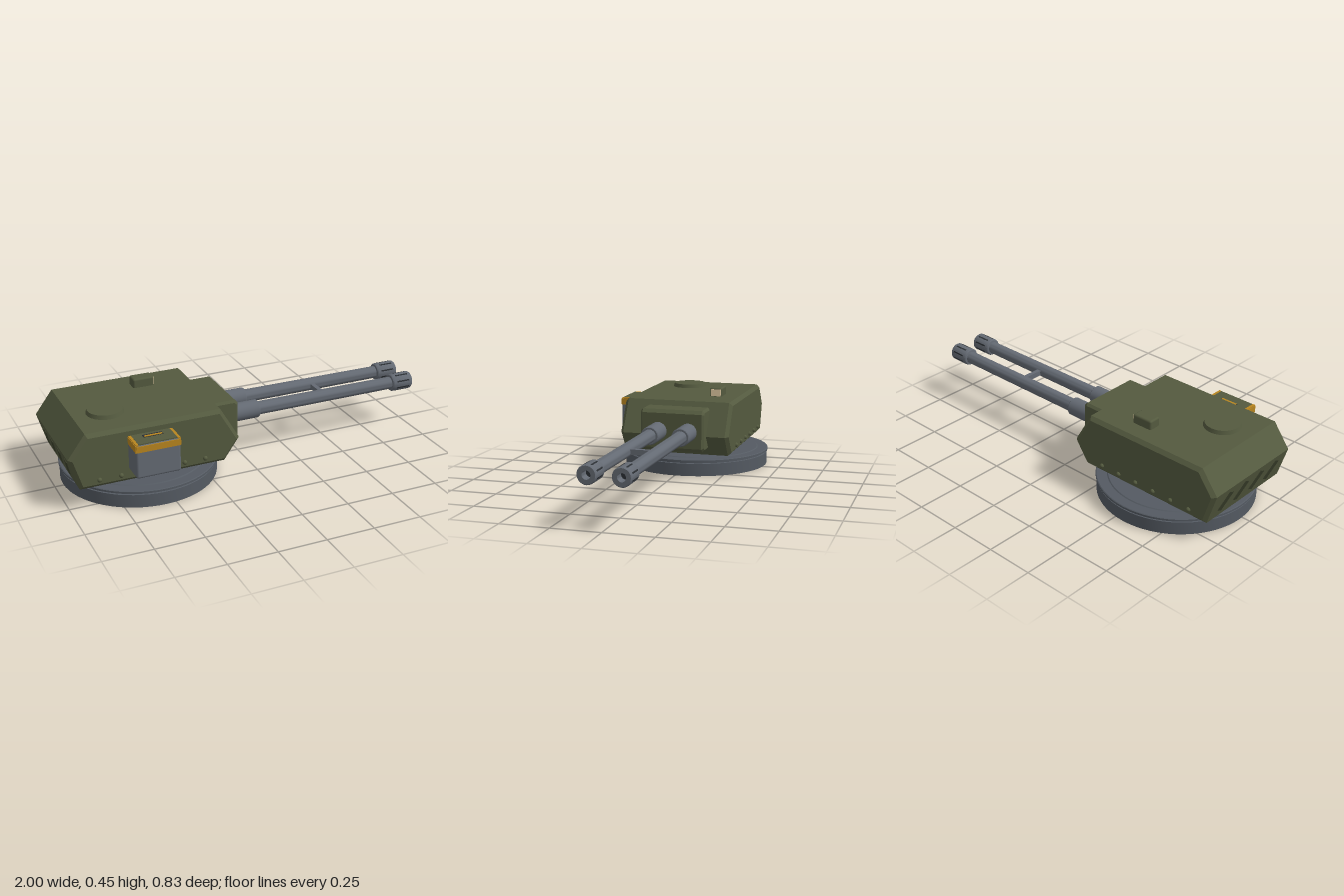
import * as THREE from 'three';
import { toCreasedNormals } from 'three/addons/utils/BufferGeometryUtils.js';
import { RoundedBoxGeometry } from 'three/addons/geometries/RoundedBoxGeometry.js';

function paint(name, color) {
  const m = new THREE.MeshStandardMaterial({ color });
  m.name = name;
  return m;
}

export function createModel() {
  const olive = paint('olive armour', 0x545a3f);
  const darkOlive = paint('dark olive', 0x3a3f2b);
  const steel = paint('gun steel', 0x646a73);
  const baseGrey = paint('base grey', 0x545a62);
  const dark = paint('dark recess', 0x2b2f33);
  const yellow = paint('hazard yellow', 0xb8851f);
  const lensTint = paint('lens beige', 0xe6cfa6);

  const model = new THREE.Group();
  model.name = 'twinGunTurret';

  const add = (name, geo, mat, x = 0, y = 0, z = 0, parent = model) => {
    const mesh = new THREE.Mesh(geo, mat);
    mesh.name = name;
    mesh.position.set(x, y, z);
    parent.add(mesh);
    return mesh;
  };
  const box = (w, h, d) => new THREE.BoxGeometry(w, h, d);
  const lathe = (points, segments) => toCreasedNormals(
    new THREE.LatheGeometry(points.map(([r, y]) => new THREE.Vector2(r, y)), segments), 0.6);

  // Side profile extruded across z, with chamfered edges
  const slab = (points, width, bevel) => {
    const shape = new THREE.Shape(points.map(([x, y]) => new THREE.Vector2(x, y)));
    const geo = new THREE.ExtrudeGeometry(shape, {
      depth: width - 2 * bevel, bevelSize: bevel, bevelThickness: bevel,
      bevelOffset: -bevel, bevelSegments: 1,
    });
    geo.translate(0, 0, bevel - width / 2);
    return geo;
  };

  // Round base with a flange, a groove and a raised inner ring
  add('base', lathe([
    [0, 0], [0.402, 0], [0.402, 0.068], [0.394, 0.07], [0.394, 0.075],
    [0.406, 0.077], [0.406, 0.087], [0.402, 0.09], [0.35, 0.09], [0.345, 0.094], [0, 0.094],
  ], 64), baseGrey, -0.552, 0, -0.012);
  add('neck', new THREE.CylinderGeometry(0.212, 0.216, 0.04, 40), olive, -0.555, 0.105, -0.008);

  // Armoured hull
  add('hull', slab([
    [-0.95, 0.115], [-0.2, 0.115], [-0.12, 0.228], [-0.22, 0.4], [-0.91, 0.4], [-1, 0.28],
  ], 0.6, 0.018), olive);

  // Rivets along both lower flanks
  const rivets = new THREE.Group();
  rivets.name = 'rivets';
  model.add(rivets);
  const rivetGeo = new THREE.SphereGeometry(0.012, 10, 8);
  for (const side of [-1, 1]) {
    for (let i = 0; i < 6; i++) {
      add('rivet', rivetGeo, olive, -0.855 + i * 0.109, 0.156, side * 0.301, rivets);
    }
  }

  // Slanted vent slats on the lower rear plate
  const rear = new THREE.Group();
  rear.name = 'rearVents';
  rear.position.set(-0.976, 0.2, 0);
  rear.rotation.z = Math.atan2(0.05, 0.165);
  model.add(rear);
  for (let i = 0; i < 4; i++) {
    const slat = add('rearVent', box(0.006, 0.11, 0.035), darkOlive, 0, 0, -0.18 + i * 0.12, rear);
    slat.rotation.x = 0.5;
  }

  // Gun mantlet
  add('mantlet', slab([
    [-0.27, 0.15], [-0.088, 0.15], [-0.07, 0.168], [-0.07, 0.354], [-0.088, 0.372], [-0.27, 0.372],
  ], 0.35, 0.012), olive, 0, 0, -0.006);

  // Twin barrels with sleeves and slotted, hollow muzzles
  const barrelGeo = lathe([
    [0, -0.12], [0.048, -0.12], [0.048, 0.075], [0.044, 0.08], [0.035, 0.08], [0.033, 0.88],
    [0.043, 0.882], [0.047, 0.888], [0.047, 0.994], [0.043, 1], [0.021, 1], [0.021, 0.94],
  ], 28);
  barrelGeo.rotateZ(-Math.PI / 2);
  const boreGeo = new THREE.CircleGeometry(0.022, 20);
  boreGeo.rotateY(Math.PI / 2);
  for (const z of [0.07, -0.096]) {
    const gun = new THREE.Group();
    gun.name = 'gun';
    gun.position.set(0, 0.257, z);
    model.add(gun);
    add('barrel', barrelGeo, steel, 0, 0, 0, gun);
    add('bore', boreGeo, dark, 0.945, 0, 0, gun);
    for (let i = 0; i < 8; i++) {
      const a = (i + 0.5) * Math.PI / 4;
      const slot = add('muzzleSlot', box(0.075, 0.004, 0.008), dark,
        0.942, 0.0455 * Math.cos(a), 0.0455 * Math.sin(a), gun);
      slot.rotation.x = a;
    }
  }
  add('barrelBrace', box(0.024, 0.028, 0.12), steel, 0.475, 0.257, -0.013);

  // Roof hatch and periscope
  add('hatch', toCreasedNormals(new THREE.CylinderGeometry(0.088, 0.095, 0.022, 36), 0.6),
    olive, -0.745, 0.409, 0.082);
  add('sight', new RoundedBoxGeometry(0.112, 0.06, 0.068, 2, 0.01), olive, -0.468, 0.417, -0.159);
  add('sightLens', box(0.004, 0.038, 0.056), lensTint, -0.412, 0.42, -0.159);

  // Ammunition box on the left flank
  const ammo = new THREE.Group();
  ammo.name = 'ammoBox';
  ammo.position.set(-0.592, 0, 0);
  model.add(ammo);
  add('ammoBody', new RoundedBoxGeometry(0.226, 0.175, 0.14, 2, 0.012), steel, 0, 0.266, 0.343, ammo);
  add('ammoLid', box(0.196, 0.012, 0.12), olive, 0, 0.352, 0.346, ammo);
  add('frontStripe', box(0.222, 0.032, 0.005), yellow, 0, 0.333, 0.4125, ammo);
  for (const side of [-1, 1]) {
    add('sideStripe', box(0.005, 0.036, 0.112), yellow, side * 0.112, 0.334, 0.355, ammo);
    add('lidEdge', box(0.014, 0.008, 0.116), yellow, side * 0.105, 0.353, 0.351, ammo);
  }
  add('lidHandle', box(0.1, 0.006, 0.024), dark, 0, 0.358, 0.335, ammo);
  add('handleStripe', box(0.09, 0.006, 0.012), yellow, 0, 0.36, 0.341, ammo);

  return model;
}
